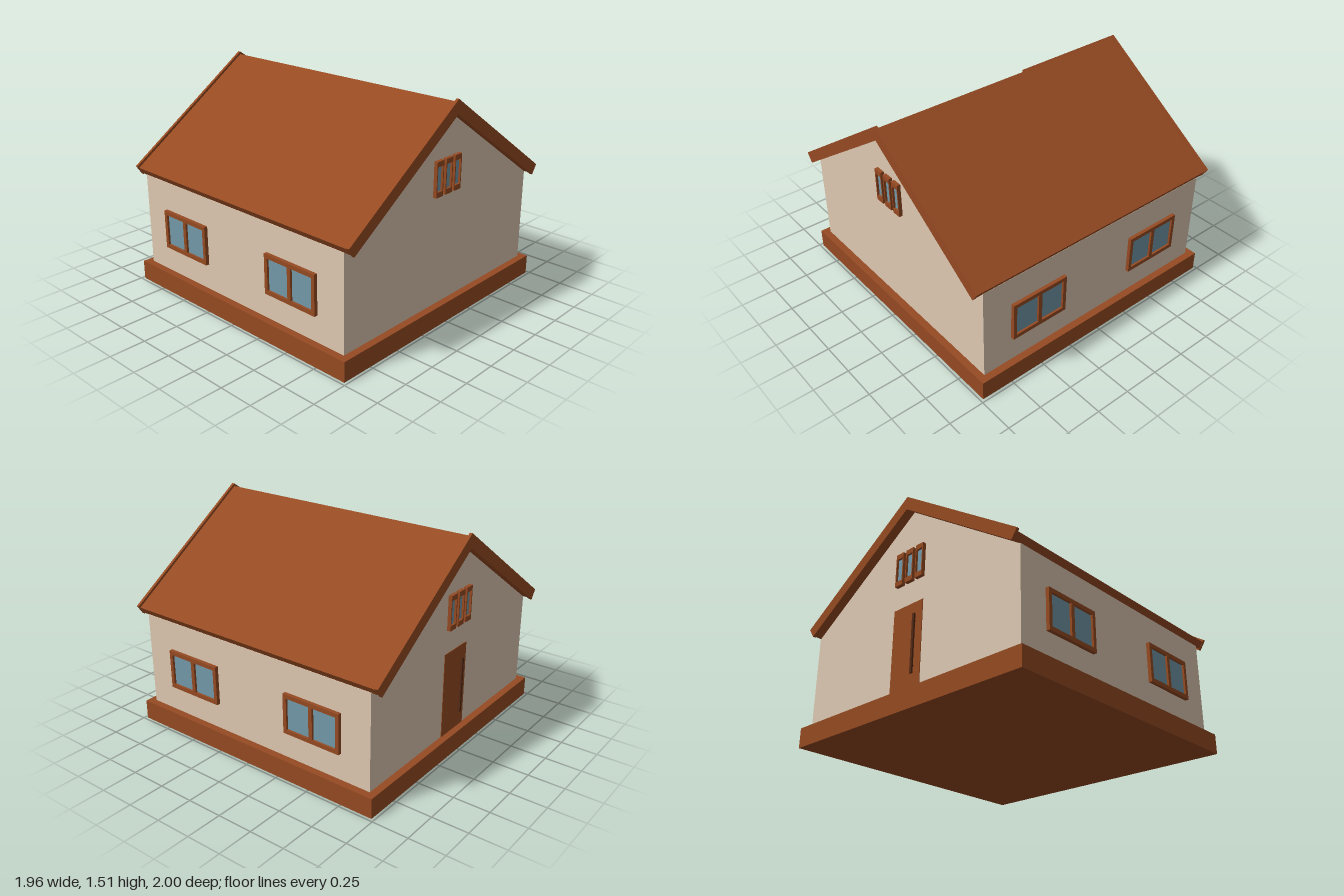
import * as THREE from 'three';

const mat = (color) => new THREE.MeshStandardMaterial({ color, flatShading: true });
const wallMat = mat(0xdec9b2);
const woodMat = mat(0x964a22);
const glassMat = mat(0x7399aa);
const handleMat = mat(0x552a15);

// Box given by its min and max corners
function box(name, material, [x0, y0, z0], [x1, y1, z1]) {
  const mesh = new THREE.Mesh(new THREE.BoxGeometry(x1 - x0, y1 - y0, z1 - z0), material);
  mesh.position.set((x0 + x1) / 2, (y0 + y1) / 2, (z0 + z1) / 2);
  mesh.name = name;
  return mesh;
}

// Outline in x/y swept along z from z0 to z1
function prism(name, material, points, z0, z1) {
  const shape = new THREE.Shape(points.map(([x, y]) => new THREE.Vector2(x, y)));
  const geometry = new THREE.ExtrudeGeometry(shape, { depth: z1 - z0, bevelEnabled: false });
  const mesh = new THREE.Mesh(geometry.translate(0, 0, z0), material);
  mesh.name = name;
  return mesh;
}

// Inverted V outline: outer apex, outer eave, inner eave, inner apex
const chevron = (apex, [ox, oy], [ix, iy], innerApex) => [
  [0, apex], [-ox, oy], [-ix, iy], [0, innerApex], [ix, iy], [ox, oy],
];

// Window facing +z, back on z = 0, centred on the origin; panes side by side
function windowUnit(name, w, h, side, rail, panes, mullion) {
  const group = new THREE.Group();
  group.name = name;
  const outline = new THREE.Shape([
    new THREE.Vector2(-w / 2, -h / 2), new THREE.Vector2(w / 2, -h / 2),
    new THREE.Vector2(w / 2, h / 2), new THREE.Vector2(-w / 2, h / 2),
  ]);
  const paneW = (w - 2 * side - (panes - 1) * mullion) / panes;
  const y = h / 2 - rail;
  for (let i = 0; i < panes; i++) {
    const x = -w / 2 + side + i * (paneW + mullion);
    outline.holes.push(new THREE.Path([
      new THREE.Vector2(x, -y), new THREE.Vector2(x, y),
      new THREE.Vector2(x + paneW, y), new THREE.Vector2(x + paneW, -y),
    ]));
  }
  const frame = new THREE.Mesh(
    new THREE.ExtrudeGeometry(outline, { depth: 0.025, bevelEnabled: false }), woodMat);
  frame.name = 'windowFrame';
  group.add(frame);
  group.add(box('windowGlass', glassMat, [-w / 2 + side, -y, 0], [w / 2 - side, y, 0.01]));
  return group;
}

export function createModel() {
  const house = new THREE.Group();
  house.name = 'house';

  // Plinth and gabled walls
  house.add(box('plinth', woodMat, [-0.98, 0, -0.98], [0.98, 0.137, 0.98]));
  house.add(prism('walls', wallMat,
    [[-0.93, 0.137], [0.93, 0.137], [0.93, 0.795], [0, 1.425], [-0.93, 0.795]], -0.93, 0.93));

  // Roof slabs with a slightly thicker verge board at each end
  house.add(prism('roof', woodMat,
    chevron(1.488, [0.955, 0.838], [0.927, 0.793], 1.42), -0.983, 0.983));
  const verge = chevron(1.507, [0.967, 0.85], [0.923, 0.785], 1.41);
  house.add(prism('frontVergeBoard', woodMat, verge, 0.98, 1));
  house.add(prism('backVergeBoard', woodMat, verge, -1, -0.98));

  // Two double windows on each long side
  for (const sx of [-1, 1]) {
    for (const z of [-0.502, 0.502]) {
      const win = windowUnit('sideWindow', 0.43, 0.274, 0.026, 0.028, 2, 0.028);
      win.position.set(sx * 0.93, 0.457, z);
      win.rotation.y = sx * Math.PI / 2;
      house.add(win);
    }
  }

  // Three narrow windows in each gable
  for (const sz of [-1, 1]) {
    for (const x of [-0.092, 0, 0.092]) {
      const win = windowUnit('gableWindow', 0.068, 0.236, 0.008, 0.035, 1, 0);
      win.position.set(x, 1.01, sz * 0.93);
      win.rotation.y = sz > 0 ? 0 : Math.PI;
      house.add(win);
    }
  }

  // Back door with a long pull handle on two mounts
  house.add(box('door', woodMat, [-0.125, 0.137, -0.934], [0.14, 0.73, -0.92]));
  const handle = new THREE.Group();
  handle.name = 'doorHandle';
  handle.add(box('handleBar', handleMat, [-0.072, 0.243, -0.953], [-0.054, 0.643, -0.941]));
  for (const y of [0.294, 0.594]) {
    handle.add(box('handleMount', handleMat, [-0.068, y - 0.005, -0.942], [-0.058, y + 0.005, -0.93]));
  }
  house.add(handle);

  return house;
}
